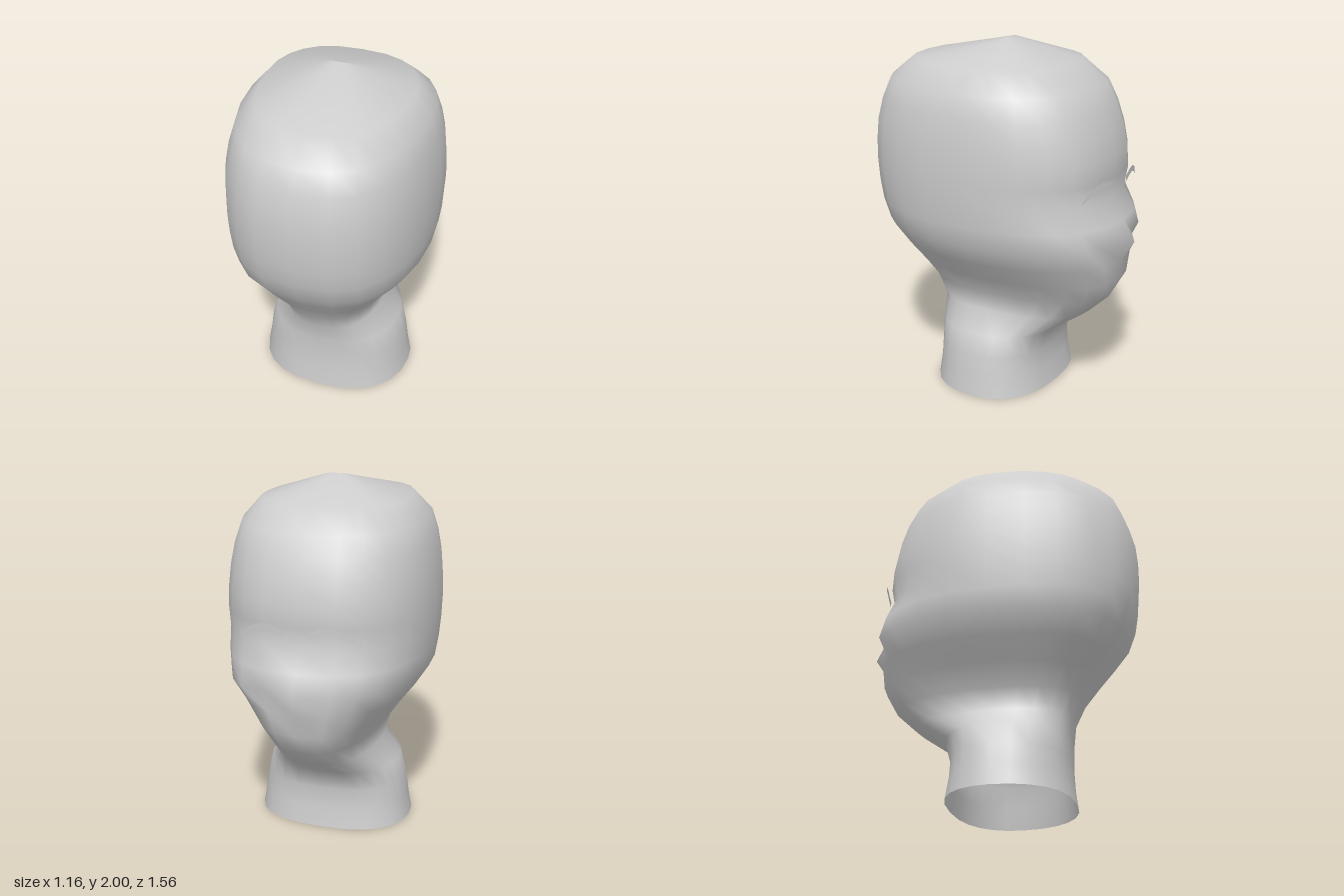
import * as THREE from 'three';

const SEG = 24;

// Cross-sections from crown to neck: [height, half width, depth behind (+z), depth on the face side (-z)]
const RINGS = [
  [2.0, 0.05, 0.003, 0.003],
  [1.882, 0.41, 0.55, 0.38],
  [1.765, 0.51, 0.69, 0.525],
  [1.647, 0.545, 0.74, 0.585],
  [1.53, 0.565, 0.77, 0.625],
  [1.412, 0.575, 0.78, 0.65],
  [1.294, 0.578, 0.78, 0.657],
  [1.176, 0.573, 0.77, 0.635],
  [1.059, 0.563, 0.75, 0.71],
  [0.941, 0.545, 0.705, 0.757],
  [0.824, 0.47, 0.62, 0.705],
  [0.706, 0.38, 0.53, 0.7],
  [0.588, 0.3, 0.445, 0.635],
  [0.471, 0.275, 0.39, 0.51],
  [0.353, 0.375, 0.37, 0.325],
  [0.235, 0.41, 0.365, 0.29],
  [0.118, 0.425, 0.37, 0.295],
  [0, 0.445, 0.385, 0.315],
];
const NOSE_RING = 9;

const power = (v, p) => Math.sign(v) * Math.pow(Math.abs(v), p);

function makeGeometry(pos, idx) {
  const g = new THREE.BufferGeometry();
  g.setAttribute('position', new THREE.Float32BufferAttribute(pos, 3));
  g.setIndex(idx);
  g.computeVertexNormals();
  return g;
}

// Head and neck: squarish ovals joined into one smooth skin, open below
function headGeometry() {
  const pos = [], idx = [];
  RINGS.forEach(([y, w, back, front], i) => {
    for (let j = 0; j < SEG; j++) {
      const a = (j / SEG) * Math.PI * 2;
      const c = Math.cos(a);
      const x = w * power(Math.sin(a), 0.78);
      let z = power(c, 0.92) * (c > 0 ? back : front);
      // pointed nose tip with hollows beside it
      if (i === NOSE_RING) {
        const off = Math.abs(j - SEG / 2);
        if (off === 0) z = -0.78;
        if (off === 1) z = -0.672;
      }
      pos.push(x, y, z);
      if (i < RINGS.length - 1) {
        const k = (j + 1) % SEG;
        const p = i * SEG + j, q = i * SEG + k;
        idx.push(p, p + SEG, q + SEG, p, q + SEG, q);
      }
    }
  });
  // crown cap
  for (let j = 1; j < SEG - 1; j++) idx.push(0, j, j + 1);
  return makeGeometry(pos, idx);
}

// Eyebrow: a thin tapering arched strip floating just off the skin
function browGeometry(side) {
  // [x, lower edge, upper edge, z]
  const path = [
    [0.07, 1.25, 1.285, -0.685],
    [0.13, 1.275, 1.31, -0.68],
    [0.19, 1.28, 1.313, -0.668],
    [0.265, 1.257, 1.285, -0.648],
    [0.335, 1.22, 1.23, -0.622],
  ];
  const pos = [], idx = [];
  path.forEach(([x, lo, hi, z], i) => {
    pos.push(side * x, lo, z, side * x, hi, z);
    if (i < path.length - 1) {
      const a = i * 2;
      if (side > 0) idx.push(a, a + 1, a + 3, a, a + 3, a + 2);
      else idx.push(a, a + 3, a + 1, a, a + 2, a + 3);
    }
  });
  return makeGeometry(pos, idx);
}

export function createModel() {
  const group = new THREE.Group();
  const grey = new THREE.MeshStandardMaterial({ color: 0xcccccc, side: THREE.DoubleSide });
  grey.name = 'plain grey';

  const head = new THREE.Mesh(headGeometry(), grey);
  head.name = 'headAndNeck';
  group.add(head);

  for (const side of [1, -1]) {
    const brow = new THREE.Mesh(browGeometry(side), grey);
    brow.name = side > 0 ? 'leftEyebrow' : 'rightEyebrow';
    group.add(brow);
  }
  return group;
}
